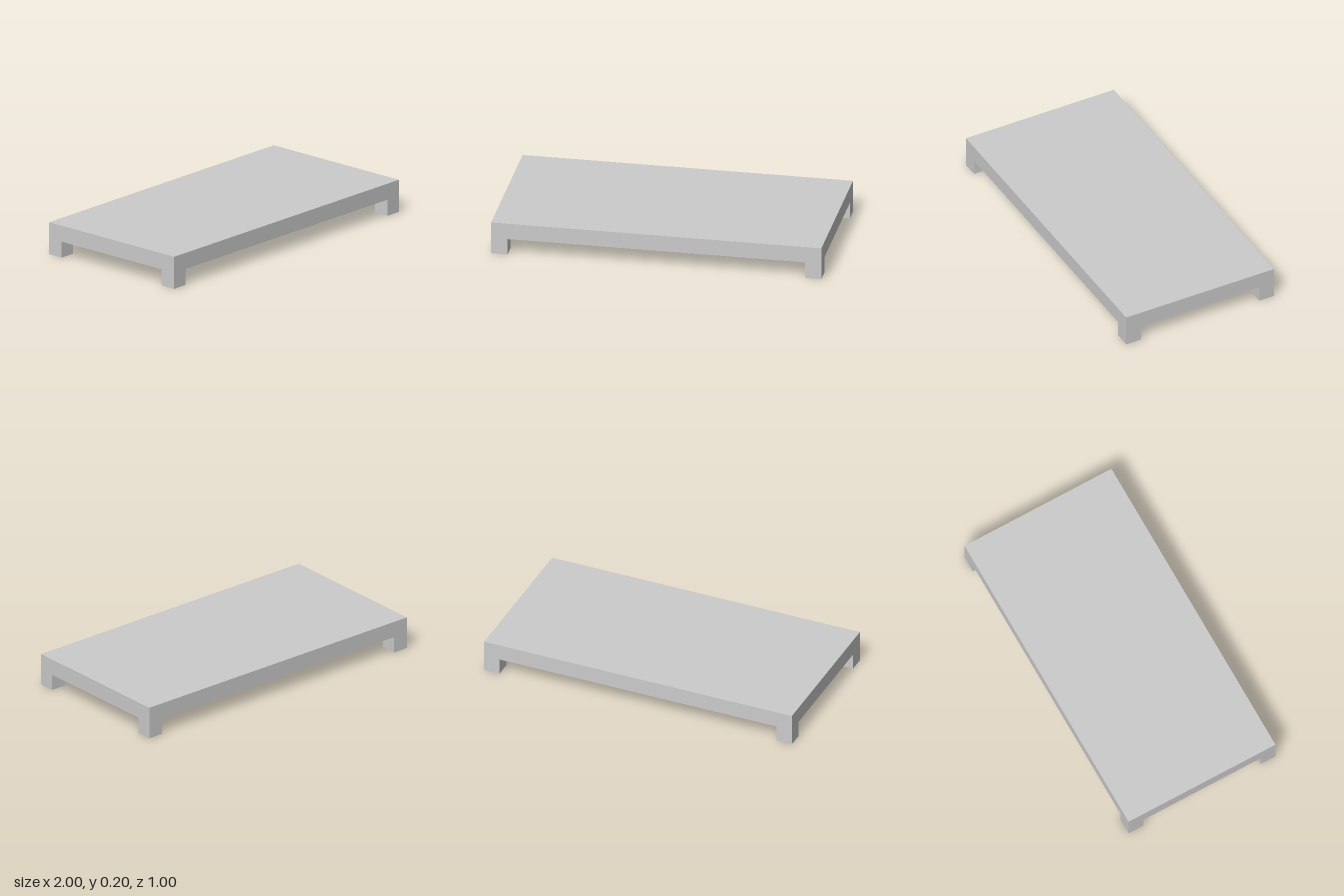
import * as THREE from 'three';

const WIDTH = 2, DEPTH = 1, TOP = 0.1, LEG = 0.1;

export function createModel() {
  const model = new THREE.Group();
  model.name = 'lowTable';
  const material = new THREE.MeshStandardMaterial({ color: 0xcccccc });

  const addBox = (name, size, position) => {
    const mesh = new THREE.Mesh(new THREE.BoxGeometry(...size), material);
    mesh.name = name;
    mesh.position.set(...position);
    model.add(mesh);
  };

  // Flat slab resting on the legs
  addBox('tabletop', [WIDTH, TOP, DEPTH], [0, LEG + TOP / 2, 0]);

  // Four cubic legs, flush with the corners
  for (const [xName, x] of [['Left', 1], ['Right', -1]]) {
    for (const [zName, z] of [['front', 1], ['back', -1]]) {
      addBox(`${zName}${xName}Leg`, [LEG, LEG, LEG],
        [x * (WIDTH - LEG) / 2, LEG / 2, z * (DEPTH - LEG) / 2]);
    }
  }

  return model;
}
